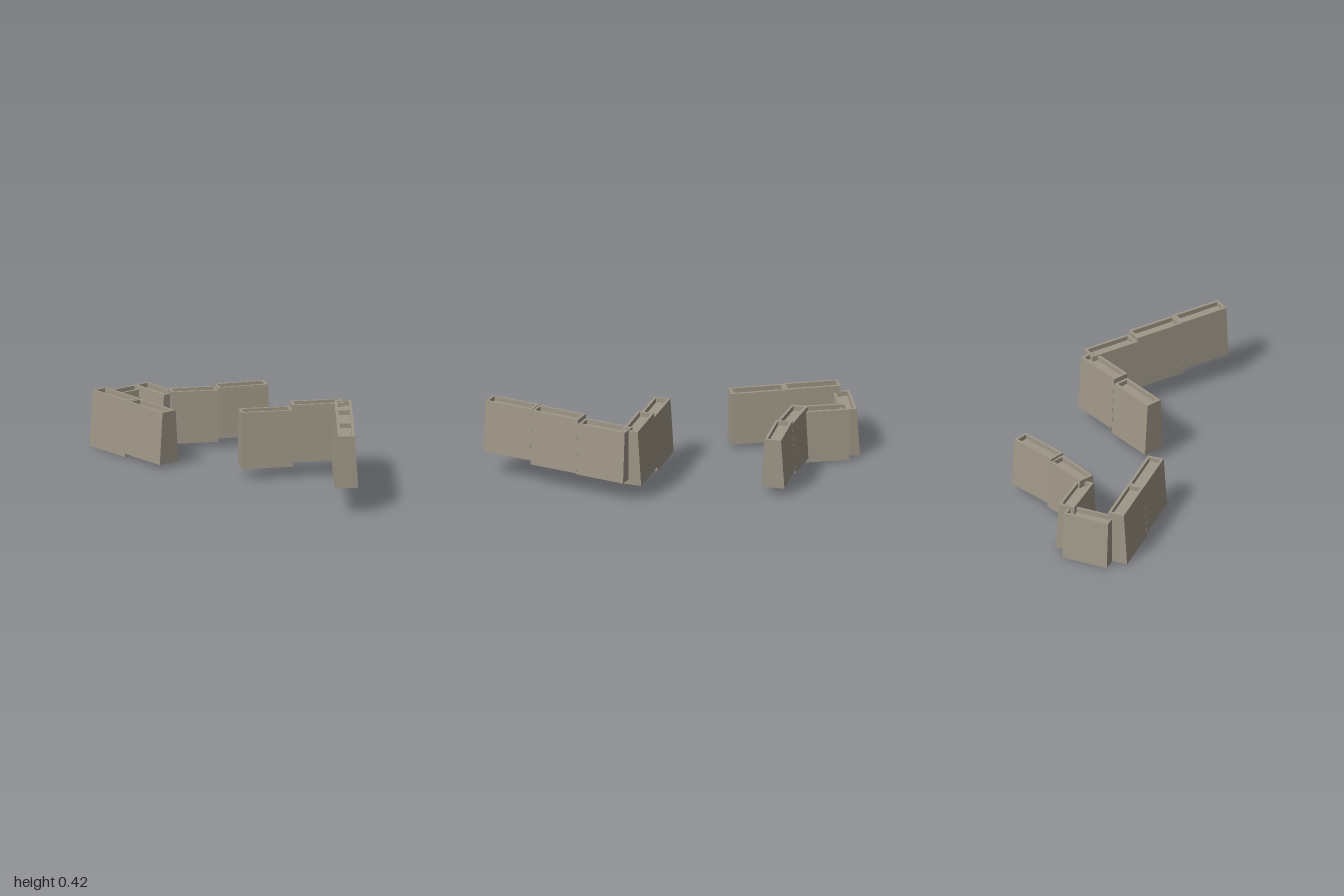
import * as THREE from 'three';

const stone = new THREE.MeshStandardMaterial({ color: 0x9f9788 });
stone.name = 'stone';

const BASE = 0.0625; // half width at the foot
const TOP = 0.044;   // half width at the crest
const SLOT = 0.03;   // half width of the sunken walkway
const DEPTH = 0.025; // walkway depth
const RIM = 0.014;   // end rim thickness

// One battered wall length running from (x0, z0) to (x1, z1), with a sunken walkway
function wallSegment(x0, z0, x1, z1, bottom, top) {
  const segment = new THREE.Group();
  segment.name = 'wallSegment';
  const length = Math.hypot(x1 - x0, z1 - z0);
  const h = top - bottom;

  const profile = new THREE.Shape([
    [-BASE, 0], [BASE, 0], [TOP, h], [SLOT, h],
    [SLOT, h - DEPTH], [-SLOT, h - DEPTH], [-SLOT, h], [-TOP, h],
  ].map(([x, y]) => new THREE.Vector2(x, y)));
  const body = new THREE.Mesh(
    new THREE.ExtrudeGeometry(profile, { depth: length, bevelEnabled: false }), stone);
  body.name = 'wallBody';
  segment.add(body);

  // Low rims closing both ends of the walkway
  for (const z of [RIM / 2, length - RIM / 2]) {
    const rim = new THREE.Mesh(new THREE.BoxGeometry(SLOT * 2, DEPTH, RIM), stone);
    rim.name = 'endRim';
    rim.position.set(0, h - DEPTH / 2, z);
    segment.add(rim);
  }

  segment.position.set(x0, bottom, z0);
  segment.rotation.y = Math.atan2(x1 - x0, z1 - z0);
  return segment;
}

// A straight run split into equal lengths, each with its own [bottom, top]
function wallRun(name, [x0, z0], [x1, z1], levels) {
  const run = new THREE.Group();
  run.name = name;
  const n = levels.length;
  const at = (a, b, i) => a + (b - a) * i / n;
  levels.forEach(([bottom, top], i) => run.add(wallSegment(
    at(x0, x1, i), at(z0, z1, i), at(x0, x1, i + 1), at(z0, z1, i + 1), bottom, top)));
  return run;
}

export function createModel() {
  const model = new THREE.Group();
  model.name = 'ruinedWalls';

  // V-shaped stretch
  model.add(wallRun('innerArm', [0.048, 0.233], [0.364, -0.21], [[0.06, 0.36], [0.085, 0.388]]));
  model.add(wallRun('outerArm', [0.37, -0.207], [0.955, 0.363],
    [[0.113, 0.393], [0.118, 0.416], [0.14, 0.42]]));

  // Hooked stretch
  model.add(wallRun('frontWall', [-0.934, 0.283], [-0.357, 0.348], [[0.002, 0.302], [0.02, 0.3]]));
  model.add(wallRun('sideWall', [-0.9, 0.01], [-0.938, 0.26], [[0, 0.265]]));
  model.add(wallRun('middleWall', [-0.896, 0.006], [-0.642, 0.045], [[0.005, 0.283]]));
  model.add(wallRun('bendWall', [-0.645, 0.048], [-0.5, -0.152], [[0.027, 0.302]]));
  model.add(wallRun('backWall', [-0.5, -0.148], [-0.365, -0.383], [[0.045, 0.315]]));

  return model;
}
